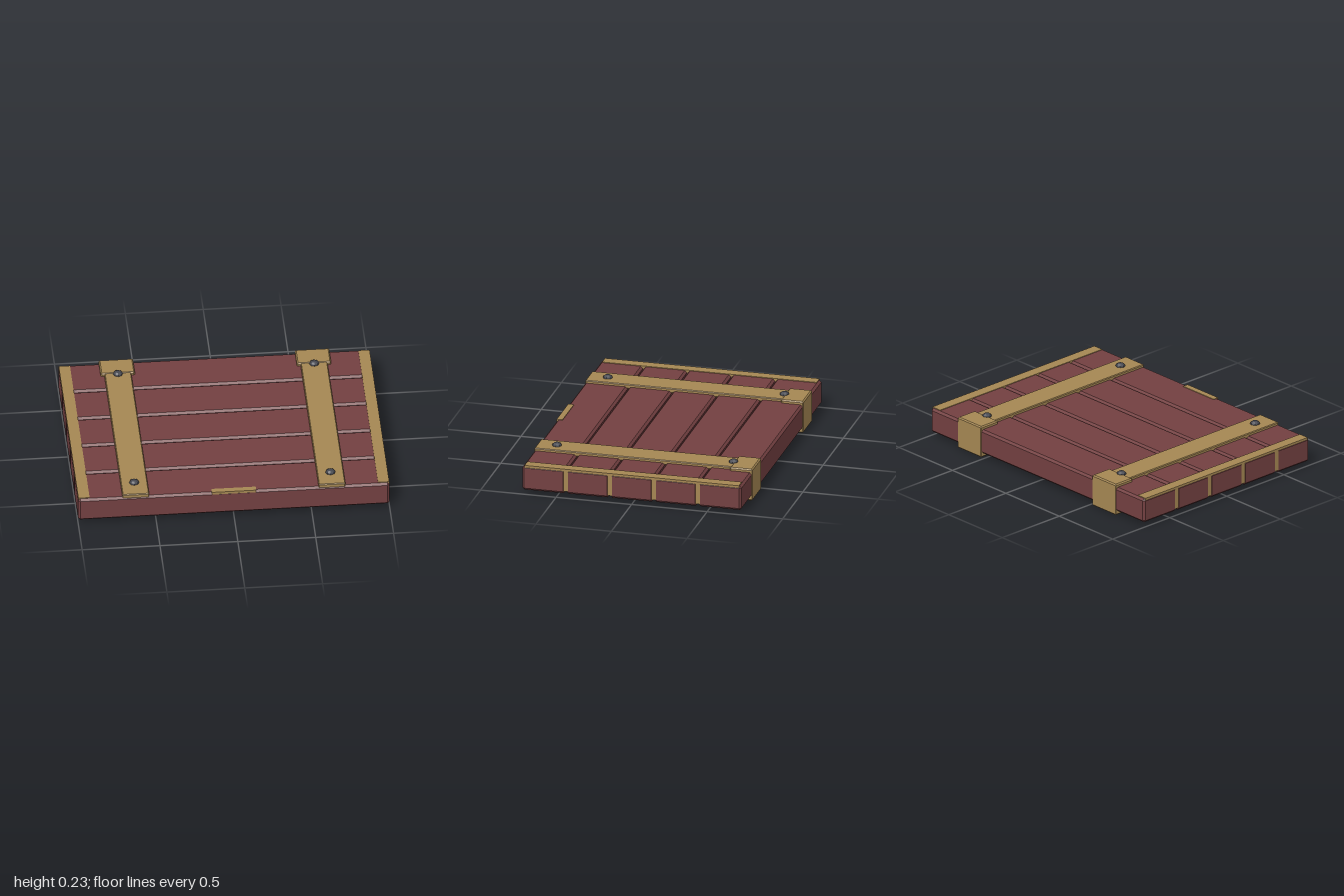
import * as THREE from 'three';
import { ConvexGeometry } from 'three/addons/geometries/ConvexGeometry.js';

const wood = new THREE.MeshStandardMaterial({ color: 0x734041 });
wood.name = 'red wood';
const brass = new THREE.MeshStandardMaterial({ color: 0xa58753 });
brass.name = 'brass';
const iron = new THREE.MeshStandardMaterial({ color: 0x44464e, flatShading: true });
iron.name = 'dark iron';

// Box between two corners with every edge chamfered by c
function chamferBox(name, material, [x0, y0, z0], [x1, y1, z1], c) {
  const half = [(x1 - x0) / 2, (y1 - y0) / 2, (z1 - z0) / 2];
  const points = [];
  for (const sx of [-1, 1]) for (const sy of [-1, 1]) for (const sz of [-1, 1]) {
    const s = [sx, sy, sz];
    for (let full = 0; full < 3; full++) {
      points.push(new THREE.Vector3(...s.map((v, i) => v * (half[i] - (i === full ? 0 : c)))));
    }
  }
  const mesh = new THREE.Mesh(new ConvexGeometry(points), material);
  mesh.position.set((x0 + x1) / 2, (y0 + y1) / 2, (z0 + z1) / 2);
  mesh.name = name;
  return mesh;
}

export function createModel() {
  const model = new THREE.Group();
  model.name = 'plankLid';

  // Five planks with narrow gaps
  const pitch = 0.2915, width = 0.285;
  for (let i = -2; i <= 2; i++) {
    const z = i * pitch;
    model.add(chamferBox('plank', wood, [-1, 0.028, z - width / 2], [1, 0.193, z + width / 2], 0.014));
  }

  for (const side of [-1, 1]) {
    const name = side > 0 ? 'left' : 'right';

    // End plate set into the plank ends
    const plate = new THREE.Mesh(new THREE.BoxGeometry(0.072, 0.152, 1.42), brass);
    plate.position.set(side * 0.962, 0.121, 0);
    plate.name = name + 'EndPlate';
    model.add(plate);

    // Strap across the planks
    const x = side * 0.63;
    model.add(chamferBox(name + 'Strap', brass, [x - 0.086, 0.18, -0.715], [x + 0.086, 0.211, 0.72], 0.005));

    // Clip wrapped around the back edge
    const clip = new THREE.Group();
    clip.name = name + 'Clip';
    const a = x - 0.11, b = x + 0.11;
    clip.add(
      chamferBox('clipTop', brass, [a, 0.185, -0.73], [b, 0.215, -0.58], 0.008),
      chamferBox('clipBack', brass, [a, 0.004, -0.73], [b, 0.211, -0.70], 0.004),
      chamferBox('clipBottom', brass, [a, 0, -0.73], [b, 0.03, -0.57], 0.008),
    );
    model.add(clip);

    // Domed bolts
    for (const z of [-0.577, 0.593]) {
      const bolt = new THREE.Mesh(
        new THREE.SphereGeometry(0.033, 8, 3, 0, Math.PI * 2, 0, Math.PI / 2), iron);
      bolt.scale.y = 0.75;
      bolt.position.set(x, 0.208, z);
      bolt.name = 'bolt';
      model.add(bolt);
    }
  }

  // Latch plate on the front edge
  const latch = new THREE.Mesh(new THREE.BoxGeometry(0.285, 0.02, 0.038), brass);
  latch.position.set(0, 0.187, 0.706);
  latch.name = 'latchPlate';
  model.add(latch);

  return model;
}
